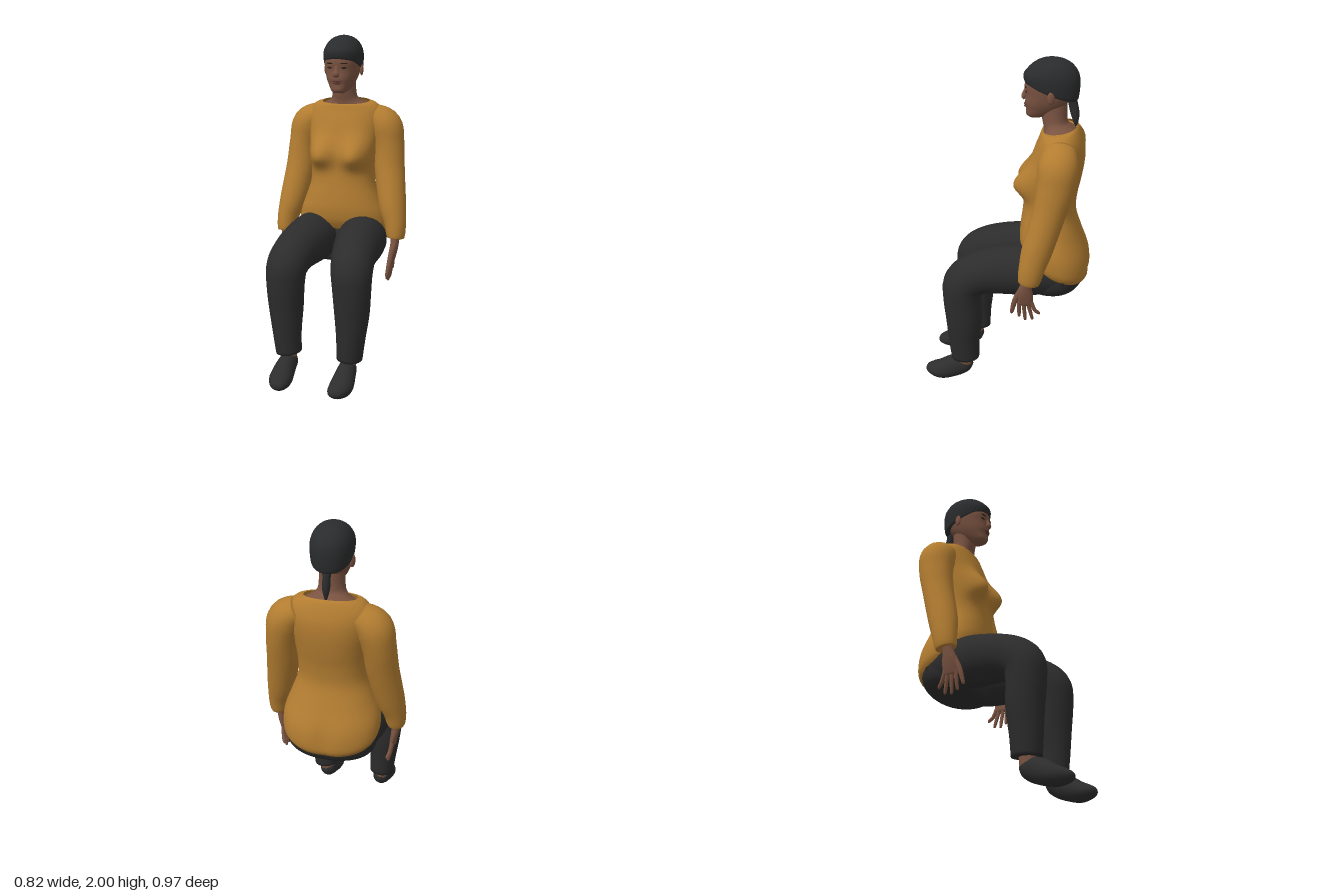
import * as THREE from 'three';

const mat = (name, color, side = THREE.FrontSide) => {
  const m = new THREE.MeshStandardMaterial({ color, side });
  m.name = name;
  return m;
};

// Catmull-Rom interpolation of whole rows of numbers
function smoothRows(rows, steps) {
  const out = [], last = rows.length - 1;
  for (let i = 0; i < last; i++) {
    const [a, b, c, d] = [rows[Math.max(i - 1, 0)], rows[i], rows[i + 1], rows[Math.min(i + 2, last)]];
    for (let k = 0; k < steps; k++) {
      const t = k / steps;
      out.push(b.map((p, j) => p + 0.5 * t * (c[j] - a[j]
        + t * (2 * a[j] - 5 * p + 4 * c[j] - d[j] + t * (3 * (p - c[j]) + d[j] - a[j])))));
    }
  }
  out.push(rows[last]);
  return out;
}

// Skin a list of rings (each a list of Vector3), optionally closing both ends
function skin(rings, capStart = true, capEnd = true) {
  const n = rings[0].length, pos = [], idx = [];
  rings.forEach(r => r.forEach(p => pos.push(p.x, p.y, p.z)));
  for (let i = 0; i < rings.length - 1; i++)
    for (let j = 0; j < n; j++) {
      const a = i * n + j, b = i * n + (j + 1) % n;
      idx.push(a, a + n, b, b, a + n, b + n);
    }
  const cap = (ring, base, flip) => {
    const c = ring.reduce((s, p) => s.add(p), new THREE.Vector3()).divideScalar(n);
    const k = pos.length / 3;
    pos.push(c.x, c.y, c.z);
    for (let j = 0; j < n; j++) {
      const a = base + j, b = base + (j + 1) % n;
      flip ? idx.push(k, a, b) : idx.push(k, b, a);
    }
  };
  if (capStart) cap(rings[0], 0, true);
  if (capEnd) cap(rings[rings.length - 1], (rings.length - 1) * n, false);
  const g = new THREE.BufferGeometry();
  g.setAttribute('position', new THREE.Float32BufferAttribute(pos, 3));
  g.setIndex(idx);
  g.computeVertexNormals();
  return g;
}

// Limb along a path; rows: x, y, z, half width sideways, half depth
function limb(rows, side = 1, seg = 20, steps = 5) {
  const rs = smoothRows(rows.map(r => [side * r[0], ...r.slice(1)]), steps);
  const c = rs.map(r => new THREE.Vector3(r[0], r[1], r[2]));
  return skin(rs.map((r, i) => {
    const T = c[Math.min(i + 1, c.length - 1)].clone().sub(c[Math.max(i - 1, 0)]).normalize();
    const S = new THREE.Vector3(1, 0, 0).addScaledVector(T, -T.x).normalize();
    const B = S.clone().cross(T);
    return Array.from({ length: seg }, (_, j) => {
      const t = j / seg * Math.PI * 2;
      return c[i].clone().addScaledVector(S, r[3] * Math.cos(t)).addScaledVector(B, r[4] * Math.sin(t));
    });
  }));
}

// Upright body form; rows: y, half width, front z, back z, slope of the ring from back to front
function form(rows, { seg = 40, steps = 5, power = 0.9, shape = () => {}, caps = [true, true] } = {}) {
  const bend = v => Math.sign(v) * Math.abs(v) ** power;
  return skin(smoothRows(rows, steps).map(([y, w, zf, zb, tilt]) =>
    Array.from({ length: seg }, (_, j) => {
      const t = j / seg * Math.PI * 2, dz = bend(Math.sin(t)) * (zf - zb) / 2;
      const p = new THREE.Vector3(w * bend(Math.cos(t)), y + tilt * dz, (zf + zb) / 2 + dz);
      shape(p, Math.sin(t));
      return p;
    })), ...caps);
}

export function createModel() {
  const model = new THREE.Group();
  model.name = 'seatedWoman';
  const shirt = mat('ochre shirt', 0xb37d31, THREE.DoubleSide);
  const trousers = mat('charcoal trousers', 0x2c2c2c);
  const shoes = mat('charcoal shoes', 0x2d2d2e);
  const hair = mat('black hair', 0x2a2b2c);
  const skinTone = mat('brown skin', 0x7a5341);
  const lips = mat('dark lips', 0x613d33);
  const eyes = mat('dark eyes', 0x2b1f1a);
  const add = (name, geometry, material, parent = model) => {
    const m = new THREE.Mesh(geometry, material);
    m.name = name;
    parent.add(m);
    return m;
  };

  // Shirt body with bust and a shallow groove down the seat
  add('shirtBody', form([
    [0.775, 0.245, -0.11, -0.44, 0.48], [0.80, 0.268, -0.09, -0.468, 0.48], [0.84, 0.28, -0.08, -0.487, 0.42],
    [0.92, 0.272, -0.075, -0.478, 0.3], [1.02, 0.235, -0.08, -0.43, 0.15], [1.12, 0.2, -0.09, -0.395, 0.05],
    [1.22, 0.195, -0.1, -0.4, 0], [1.32, 0.205, -0.1, -0.42, 0], [1.42, 0.22, -0.13, -0.435, 0],
    [1.5, 0.23, -0.155, -0.435, 0], [1.56, 0.222, -0.178, -0.42, 0], [1.6, 0.185, -0.19, -0.4, -0.06],
    [1.61, 0.145, -0.2, -0.385, -0.15]], {
    seg: 56, caps: [true, false],
    shape: (p, s) => {
      if (s > 0) {
        const dy = (p.y - 1.285) / (p.y > 1.285 ? 0.085 : 0.05), dx = (Math.abs(p.x) - 0.115) / 0.062;
        p.z += 0.072 * Math.exp(-(dx * dx + dy * dy) / 1.6) * Math.min(1, s * 2);
      } else {
        p.z += 0.015 * Math.exp(-((p.x / 0.05) ** 2) - ((p.y - 0.8) / 0.12) ** 2);
      }
    }
  }), shirt);

  // Seat of the trousers
  add('trouserSeat', form([
    [0.63, 0.12, -0.18, -0.34, 0], [0.645, 0.2, -0.13, -0.41, 0], [0.69, 0.25, -0.11, -0.45, 0],
    [0.76, 0.262, -0.11, -0.462, 0], [0.84, 0.24, -0.13, -0.43, 0]]), trousers);

  // Limbs, mirrored
  for (const s of [1, -1]) {
    const side = s > 0 ? 'left' : 'right';

    add(side + 'Sleeve', limb([
      [0.16, 1.525, -0.31, 0.075, 0.09], [0.24, 1.465, -0.31, 0.102, 0.11], [0.27, 1.35, -0.3, 0.092, 0.103],
      [0.285, 1.2, -0.27, 0.09, 0.092], [0.318, 1.0, -0.215, 0.082, 0.086], [0.342, 0.9, -0.19, 0.066, 0.074],
      [0.35, 0.83, -0.177, 0.057, 0.066], [0.35, 0.805, -0.173, 0.05, 0.06]], s, 24), shirt);

    add(side + 'TrouserLeg', limb([
      [0.13, 0.77, -0.35, 0.12, 0.12], [0.15, 0.785, -0.15, 0.145, 0.153], [0.163, 0.78, 0, 0.14, 0.146],
      [0.18, 0.755, 0.14, 0.127, 0.13], [0.195, 0.695, 0.228, 0.12, 0.122], [0.2, 0.6, 0.243, 0.112, 0.113],
      [0.2, 0.45, 0.235, 0.101, 0.108], [0.195, 0.3, 0.238, 0.084, 0.094], [0.187, 0.175, 0.235, 0.075, 0.085]],
      s, 28), trousers);

    add(side + 'Ankle', limb([[0.185, 0.23, 0.235, 0.045, 0.048], [0.183, 0.12, 0.245, 0.045, 0.05]], s), skinTone);

    add(side + 'Shoe', limb([
      [0.18, 0.13, 0.195, 0.015, 0.02], [0.18, 0.122, 0.225, 0.046, 0.052], [0.183, 0.1, 0.29, 0.057, 0.07],
      [0.183, 0.062, 0.38, 0.068, 0.06], [0.172, 0.053, 0.44, 0.056, 0.043], [0.165, 0.052, 0.475, 0.036, 0.025],
      [0.163, 0.052, 0.488, 0.012, 0.01]], s), shoes);

    // Hand: palm, four fingers and a thumb
    const hand = new THREE.Group();
    hand.name = side + 'Hand';
    model.add(hand);
    add('palm', limb([
      [0.35, 0.86, -0.175, 0.03, 0.036], [0.35, 0.79, -0.16, 0.025, 0.033], [0.343, 0.73, -0.152, 0.023, 0.046],
      [0.331, 0.665, -0.152, 0.017, 0.046], [0.328, 0.65, -0.152, 0.01, 0.038]], s, 16), skinTone, hand);
    [[-0.118, -0.115, 0.56], [-0.141, -0.15, 0.542], [-0.164, -0.19, 0.548], [-0.184, -0.228, 0.585]]
      .forEach(([z0, z1, y], i) => add('finger' + (i + 1), limb([
        [0.333, 0.68, z0, 0.012, 0.012], [0.325, 0.62, (z0 + z1) / 2, 0.0115, 0.0115],
        [0.314, y + 0.01, z1, 0.009, 0.009], [0.311, y, z1, 0.003, 0.003]], s, 8, 3), skinTone, hand));
    add('thumb', limb([
      [0.342, 0.755, -0.13, 0.016, 0.016], [0.335, 0.68, -0.095, 0.015, 0.016],
      [0.325, 0.6, -0.075, 0.011, 0.011], [0.322, 0.585, -0.073, 0.004, 0.004]], s, 8, 3), skinTone, hand);
  }

  // Neck flaring into the collar
  add('neck', form([
    [1.56, 0.165, -0.19, -0.4, 0], [1.595, 0.135, -0.2, -0.38, -0.1], [1.62, 0.092, -0.2, -0.35, -0.1],
    [1.66, 0.072, -0.19, -0.33, 0], [1.78, 0.07, -0.17, -0.33, 0]], { power: 1 }), skinTone);

  // Head
  const head = new THREE.Group();
  head.name = 'head';
  model.add(head);
  add('face', form([
    [1.665, 0.028, -0.115, -0.17, 0.1], [1.678, 0.046, -0.1, -0.21, 0.1], [1.71, 0.068, -0.1, -0.27, 0.1],
    [1.75, 0.087, -0.095, -0.33, 0], [1.8, 0.1, -0.098, -0.36, 0], [1.85, 0.106, -0.092, -0.375, 0],
    [1.91, 0.1, -0.105, -0.37, 0]]), skinTone, head);
  add('hairCap', form([
    [1.815, 0.107, -0.092, -0.375, 0.36], [1.83, 0.112, -0.086, -0.388, 0.33], [1.88, 0.115, -0.085, -0.395, 0.16],
    [1.92, 0.109, -0.098, -0.387, 0.05], [1.96, 0.088, -0.13, -0.355, 0], [1.985, 0.058, -0.17, -0.315, 0],
    [1.997, 0.025, -0.21, -0.275, 0], [2, 0.004, -0.24, -0.248, 0]], { power: 0.95 }), hair, head);
  add('ponytail', limb([
    [0, 1.79, -0.335, 0.02, 0.02], [0, 1.765, -0.355, 0.024, 0.024], [0, 1.735, -0.362, 0.021, 0.026],
    [0, 1.69, -0.372, 0.022, 0.024], [0, 1.645, -0.377, 0.013, 0.014], [0, 1.62, -0.378, 0.004, 0.004]],
    1, 12), hair, head);

  // Nose, mouth, eyes, brows and ears
  add('nose', limb([
    [0, 1.835, -0.103, 0.008, 0.006], [0, 1.8, -0.093, 0.012, 0.012], [0, 1.778, -0.086, 0.02, 0.014],
    [0, 1.764, -0.092, 0.018, 0.008]], 1, 12), skinTone, head);
  const blob = (name, material, x, y, z, sx, sy, sz, turn = 0) => {
    const m = add(name, new THREE.SphereGeometry(1, 16, 10), material, head);
    m.position.set(x, y, z);
    m.scale.set(sx, sy, sz);
    m.rotation.y = turn;
  };
  blob('upperLip', lips, 0, 1.738, -0.1, 0.03, 0.007, 0.012);
  blob('lowerLip', lips, 0, 1.726, -0.1, 0.027, 0.007, 0.011);
  for (const s of [1, -1]) {
    blob('eye', eyes, s * 0.042, 1.815, -0.106, 0.017, 0.006, 0.005, s * 0.25);
    blob('brow', eyes, s * 0.043, 1.84, -0.101, 0.023, 0.004, 0.005, s * 0.25);
    blob('ear', skinTone, s * 0.108, 1.8, -0.25, 0.011, 0.036, 0.022, s * 0.35);
  }
  return model;
}
